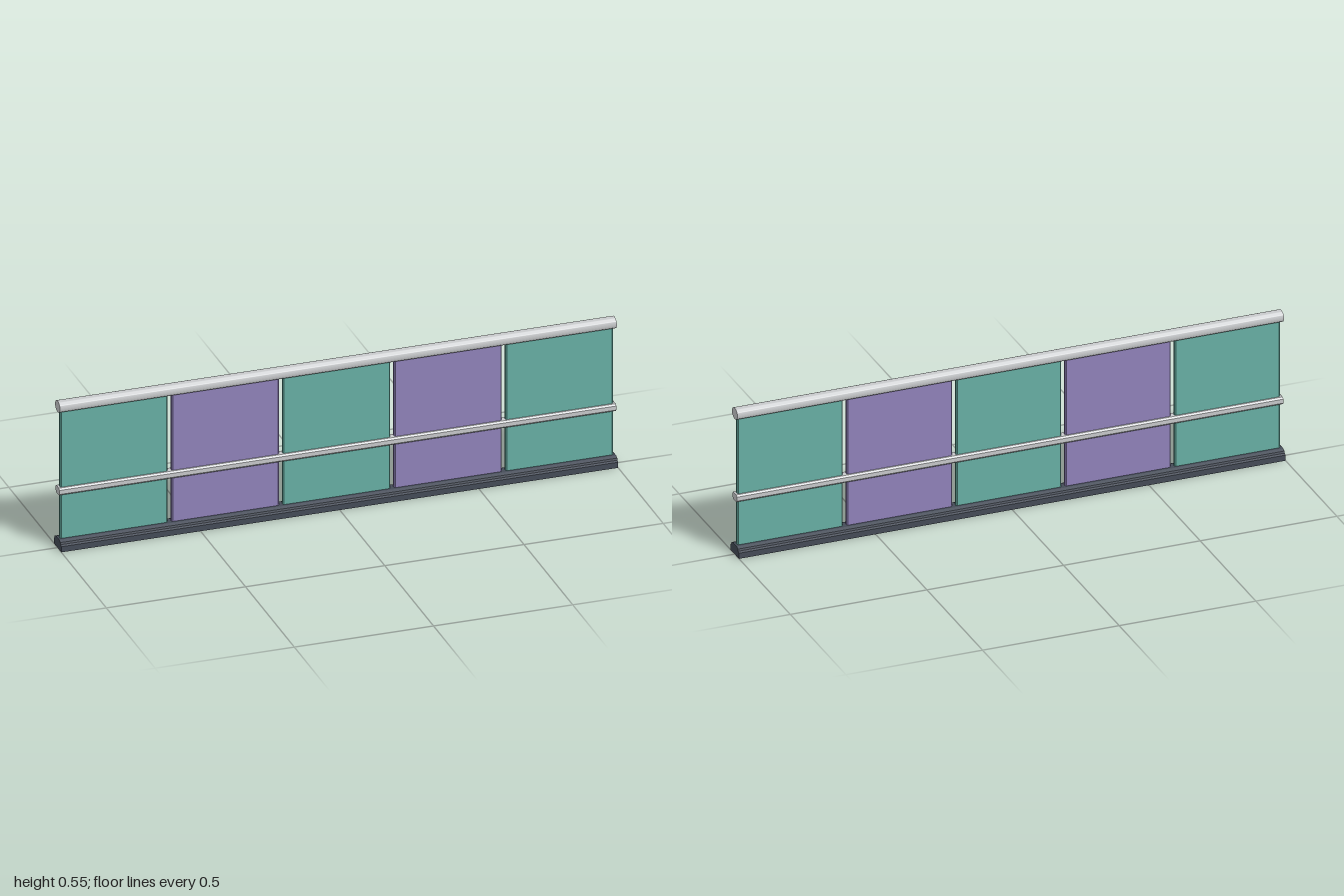
import * as THREE from 'three';
import { toCreasedNormals } from 'three/addons/utils/BufferGeometryUtils.js';

const material = (name, color) => {
  const m = new THREE.MeshStandardMaterial({ color });
  m.name = name;
  return m;
};

// Closed outline from [u, v] points
const outline = (points) => new THREE.Shape(points.map(([u, v]) => new THREE.Vector2(u, v)));

// Rectangle with cut corners, centred on the origin
const chamferedRect = (w, h, cu, cv) => outline([
  [w - cu, -h], [w, -h + cv], [w, h - cv], [w - cu, h],
  [-w + cu, h], [-w, h - cv], [-w, -h + cv], [-w + cu, -h],
]);

// Runs a z/y outline along the whole length in x
function runAlongX(shape, creaseAngle) {
  const geo = new THREE.ExtrudeGeometry(shape, { depth: 2, bevelEnabled: false, curveSegments: 32 });
  geo.translate(0, 0, -1).rotateY(Math.PI / 2);
  return toCreasedNormals(geo, creaseAngle);
}

export function createModel() {
  const group = new THREE.Group();
  const teal = material('tealPanel', 0x68b0a5);
  const purple = material('purplePanel', 0x9183bb);
  const silver = material('silverRail', 0xc9cbcd);
  const slate = material('slateBase', 0x454c58);

  const add = (name, geo, mat, x, y) => {
    const mesh = new THREE.Mesh(geo, mat);
    mesh.name = name;
    mesh.position.set(x, y, 0);
    group.add(mesh);
  };

  // Stepped base channel
  const half = [[0.039, 0], [0.039, 0.021], [0.031, 0.025], [0.029, 0.032], [0.018, 0.037]];
  const mirrored = half.map(([z, y]) => [-z, y]).reverse();
  add('baseChannel', runAlongX(outline([...half, ...mirrored]), 0.2), slate, 0, 0);

  // Oval handrail
  const oval = new THREE.Shape();
  oval.absellipse(0, 0, 0.025, 0.0205, 0, Math.PI * 2);
  add('handrail', runAlongX(oval, 0.6), silver, 0, 0.531);

  // Slim middle rail with softened corners
  const slim = chamferedRect(0.0195, 0.0135, 0.006, 0.006);
  add('middleRail', runAlongX(slim, 0.2), silver, 0, 0.216);

  // Five alternating infill panels with chamfered upright edges
  const panel = new THREE.ExtrudeGeometry(chamferedRect(0.193, 0.0085, 0.004, 0.004), {
    depth: 0.49, bevelEnabled: false,
  });
  panel.rotateX(-Math.PI / 2);
  for (let i = 0; i < 5; i++) {
    add(`infillPanel${i + 1}`, panel, i % 2 ? purple : teal, -0.8 + i * 0.4, 0.03);
  }
  return group;
}
